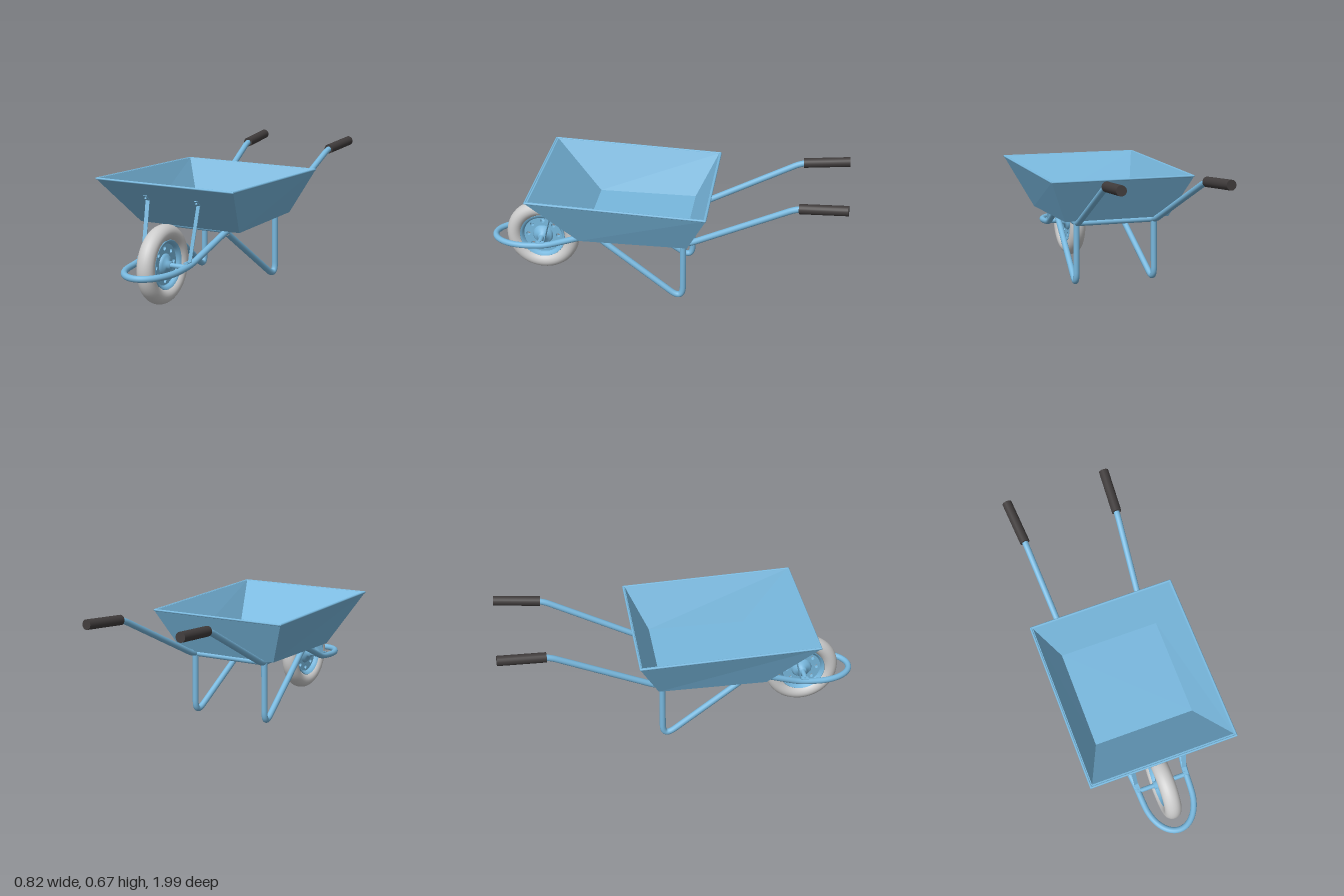
import * as THREE from 'three';

const V = (x, y, z) => new THREE.Vector3(x, y, z);
const blue = new THREE.MeshStandardMaterial({ color: 0x78b8de });
const blueFlat = new THREE.MeshStandardMaterial({ color: 0x78b8de, flatShading: true });
const grey = new THREE.MeshStandardMaterial({ color: 0xcccccc });
const dark = new THREE.MeshStandardMaterial({ color: 0x403c3c });

function mesh(name, geometry, material = blue) {
  const m = new THREE.Mesh(geometry, material);
  m.name = name;
  return m;
}

// Round tube along a polyline whose corners are rounded by trimming up to `trim`
function bentTube(name, pts, r, trim, segments) {
  const path = new THREE.CurvePath();
  let from = pts[0];
  for (let i = 1; i < pts.length - 1; i++) {
    const p = pts[i];
    const cut = (q) => p.clone().lerp(q, Math.min(0.49, trim / p.distanceTo(q)));
    const a = cut(pts[i - 1]), b = cut(pts[i + 1]);
    path.add(new THREE.LineCurve3(from, a));
    path.add(new THREE.QuadraticBezierCurve3(a, p, b));
    from = b;
  }
  path.add(new THREE.LineCurve3(from, pts[pts.length - 1]));
  return mesh(name, new THREE.TubeGeometry(path, segments, r, 16, false));
}

// Capped straight rod between two points
function rod(name, a, b, r, material = blue) {
  const m = mesh(name, new THREE.CylinderGeometry(r, r, a.distanceTo(b), 20), material);
  m.position.copy(a).lerp(b, 0.5);
  m.quaternion.setFromUnitVectors(V(0, 1, 0), b.clone().sub(a).normalize());
  return m;
}

// Flat strip between two points
function strip(name, a, b, width, thick) {
  const m = mesh(name, new THREE.BoxGeometry(width, thick, a.distanceTo(b)));
  m.position.copy(a).lerp(b, 0.5);
  m.lookAt(b);
  return m;
}

// Four corners of a tray section, counter-clockwise seen from above
const ring = (w, zf, zb, yf, yb) => [V(w, yf, zf), V(w, yb, zb), V(-w, yb, zb), V(-w, yf, zf)];

function buildTray() {
  const tray = new THREE.Group();
  tray.name = 'tray';
  const rings = [
    ring(0.3, 0.432, -0.157, 0.36, 0.36),
    ring(0.408, 0.698, -0.268, 0.63, 0.595),
    ring(0.394, 0.68, -0.255, 0.63, 0.595),
    ring(0.28, 0.414, -0.136, 0.37, 0.37),
  ];
  const pos = [];
  const quad = (a, b, c, d) => [a, b, c, a, c, d].forEach((p) => pos.push(p.x, p.y, p.z));
  for (let k = 0; k < 3; k++) {
    for (let i = 0; i < 4; i++) {
      const j = (i + 1) % 4;
      quad(rings[k][i], rings[k][j], rings[k + 1][j], rings[k + 1][i]);
    }
  }
  quad(...rings[3]);
  quad(...rings[0].slice().reverse());
  const g = new THREE.BufferGeometry();
  g.setAttribute('position', new THREE.Float32BufferAttribute(pos, 3));
  g.computeVertexNormals();
  tray.add(mesh('trayShell', g, blueFlat));

  // Rolled edge around the rim
  const rim = ring(0.404, 0.693, -0.263, 0.627, 0.592);
  rim.forEach((p, i) => {
    tray.add(rod('rimEdge', p, rim[(i + 1) % 4], 0.006));
    const corner = mesh('rimCorner', new THREE.SphereGeometry(0.006, 10, 8));
    corner.position.copy(p);
    tray.add(corner);
  });
  return tray;
}

function buildWheel() {
  const wheel = new THREE.Group();
  wheel.name = 'wheel';
  // Tyre, slightly wider than deep
  const tyre = new THREE.TorusGeometry(0.165, 0.043, 24, 64);
  tyre.scale(1, 1, 1.1);
  wheel.add(mesh('tyre', tyre, grey));

  // Rim bed with flared lips
  const profile = [[0.127, -0.036], [0.13, -0.032], [0.118, -0.024], [0.112, 0],
    [0.118, 0.024], [0.13, 0.032], [0.127, 0.036], [0.113, 0.026], [0.106, 0],
    [0.113, -0.026], [0.127, -0.036]].map(([r, y]) => new THREE.Vector2(r, y));
  const bed = new THREE.LatheGeometry(profile, 48);
  bed.rotateX(Math.PI / 2);
  const rimMaterial = blue.clone();
  rimMaterial.side = THREE.DoubleSide;
  wheel.add(mesh('rim', bed, rimMaterial));

  // Disc with a circle of round holes
  const disc = new THREE.Shape().absarc(0, 0, 0.112, 0, Math.PI * 2);
  for (let i = 0; i < 8; i++) {
    const a = (i * Math.PI) / 4;
    disc.holes.push(new THREE.Path().absarc(0.086 * Math.cos(a), 0.086 * Math.sin(a), 0.012, 0, Math.PI * 2, true));
  }
  const plate = new THREE.ExtrudeGeometry(disc, { depth: 0.024, bevelEnabled: false, curveSegments: 32 });
  plate.translate(0, 0, -0.012);
  wheel.add(mesh('wheelDisc', plate));

  // Raised hub on each face
  const hub = [[0, -0.05], [0.022, -0.05], [0.022, -0.032], [0.048, -0.026], [0.058, -0.012],
    [0.058, 0.012], [0.048, 0.026], [0.022, 0.032], [0.022, 0.05], [0, 0.05]];
  const hubGeo = new THREE.LatheGeometry(hub.map(([r, y]) => new THREE.Vector2(r, y)), 32);
  hubGeo.rotateX(Math.PI / 2);
  wheel.add(mesh('hub', hubGeo));

  wheel.rotation.y = Math.PI / 2;
  wheel.position.set(0, 0.218, 0.7);
  return wheel;
}

export function createModel() {
  const model = new THREE.Group();
  model.name = 'wheelbarrow';
  const R = 0.017;

  // Frame: one tube from handle to handle, looping round the wheel
  const half = [V(0.285, 0.643, -0.98), V(0.269, 0.628, -0.73), V(0.225, 0.345, -0.15),
    V(0.187, 0.345, 0.36), V(0.143, 0.222, 0.66)];
  const loop = [];
  for (let i = 0; i <= 12; i++) {
    const a = (i * Math.PI) / 12;
    loop.push(V(0.138 * Math.cos(a), 0.211 - 0.006 * Math.sin(a), 0.77 + 0.206 * Math.sin(a)));
  }
  const otherHalf = half.map((p) => V(-p.x, p.y, p.z)).reverse();
  model.add(bentTube('frame', [...half, ...loop, ...otherHalf], R, 0.045, 420));

  // Cross bars under the tray
  model.add(rod('rearCrossBar', V(-0.225, 0.343, -0.125), V(0.225, 0.343, -0.125), 0.015));
  model.add(rod('frontCrossBar', V(-0.19, 0.343, 0.345), V(0.19, 0.343, 0.345), 0.015));

  for (const s of [1, -1]) {
    // Grip
    model.add(rod('grip', V(s * 0.27, 0.629, -0.742), V(s * 0.287, 0.645, -0.998), 0.027, dark));

    // V-shaped leg
    model.add(bentTube('leg', [V(s * 0.225, 0.345, -0.128), V(s * 0.228, -0.012, -0.128),
      V(s * 0.188, 0.333, 0.36)], R, 0.085, 100));

    // Tray brace: tab on the wall, strap, foot on the frame, with bolts
    const top = V(s * 0.152, 0.547, 0.624), bend = V(s * 0.152, 0.52, 0.597);
    const low = V(s * 0.14, 0.241, 0.665), foot = V(s * 0.139, 0.239, 0.71);
    model.add(strip('braceTab', bend, top, 0.022, 0.004));
    model.add(strip('braceStrap', bend, low, 0.022, 0.004));
    model.add(strip('braceFoot', low, foot, 0.024, 0.004));
    model.add(rod('braceBolt', V(s * 0.152, 0.528, 0.621), V(s * 0.152, 0.542, 0.607), 0.006));
    model.add(rod('footBolt', V(s * 0.139, 0.225, 0.69), V(s * 0.139, 0.246, 0.69), 0.006));
  }

  model.add(rod('axle', V(-0.14, 0.218, 0.7), V(0.14, 0.218, 0.7), 0.013));
  model.add(buildWheel());
  model.add(buildTray());
  return model;
}
